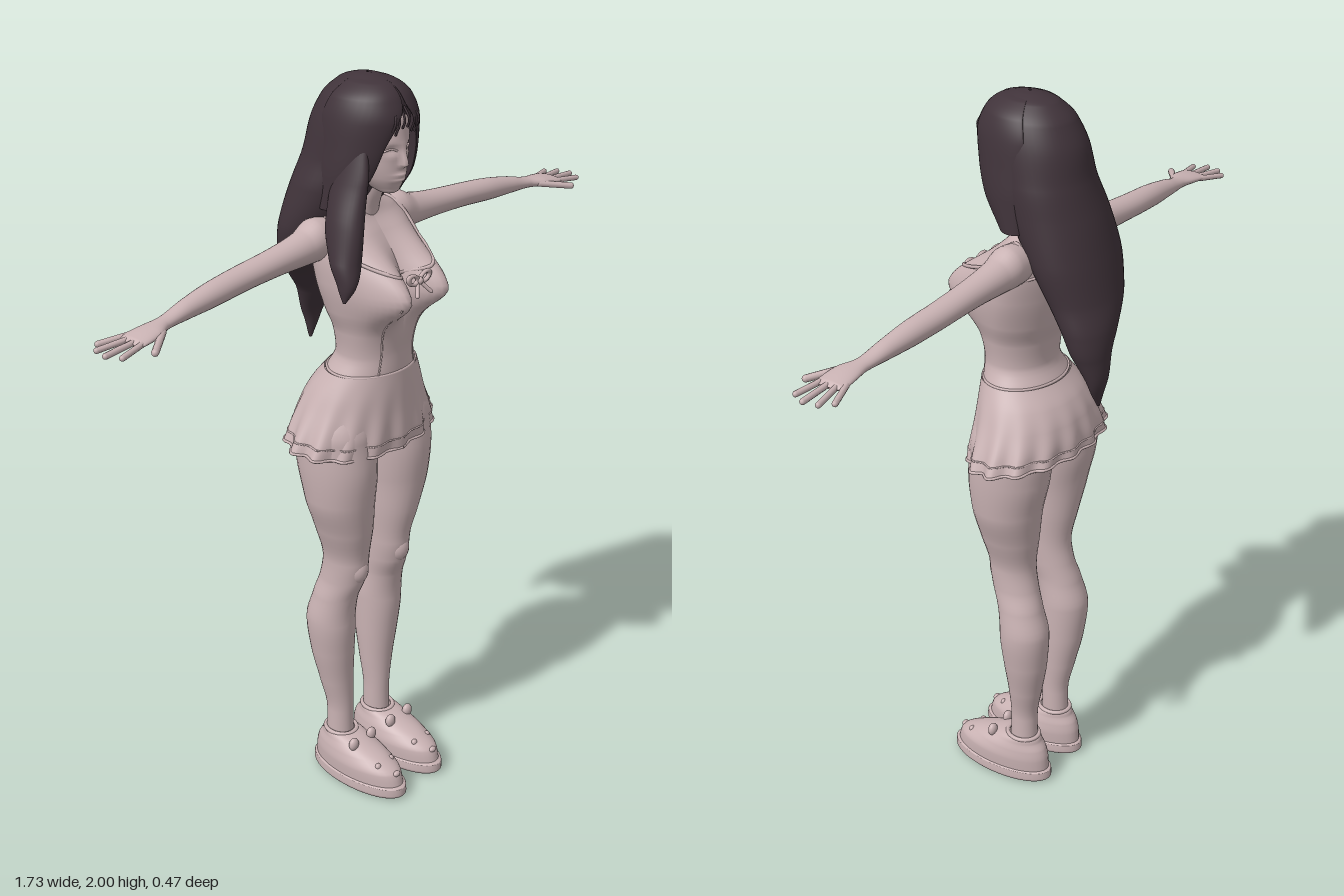
import * as THREE from 'three';
import { ParametricGeometry } from 'three/addons/geometries/ParametricGeometry.js';

const { sin, cos, PI, exp, abs, max, min } = Math;
const V = (x, y, z) => new THREE.Vector3(x, y, z);

// Monotone cubic interpolation of table rows, keyed by their first column.
function at(rows, k) {
  let i = 0;
  while (i < rows.length - 2 && k > rows[i + 1][0]) i++;
  const slope = (j, c) => (rows[j + 1][c] - rows[j][c]) / (rows[j + 1][0] - rows[j][0]);
  const tangent = (j, c) => {
    if (j === 0) return slope(0, c);
    if (j === rows.length - 1) return slope(j - 1, c);
    const a = slope(j - 1, c), b = slope(j, c);
    return a * b > 0 ? 2 * a * b / (a + b) : 0;
  };
  const h = rows[i + 1][0] - rows[i][0];
  const t = min(1, max(0, (k - rows[i][0]) / h)), s = 1 - t;
  return rows[i].slice(1).map((p, n) => {
    const c = n + 1;
    return p * (1 + 2 * t) * s * s + tangent(i, c) * h * t * s * s
      + rows[i + 1][c] * t * t * (3 - 2 * t) - tangent(i + 1, c) * h * t * t * s;
  });
}

// Surface through the rows; place(angle, key, values) gives a point.
function loft(rows, place, around = 32, steps = 5) {
  const n = rows.length - 1;
  return new ParametricGeometry((u, v, out) => {
    const i = min(n - 1, Math.floor(v * n)), f = v * n - i;
    const k = rows[i][0] + (rows[i + 1][0] - rows[i][0]) * f;
    out.copy(place(u * 2 * PI, k, at(rows, k)));
  }, around, n * steps);
}

const ring = (a, y, [cx, cz, rx, rz]) => V(cx + rx * sin(a), y, cz + rz * cos(a));
const along = (a, x, [cy, cz, ry, rz]) => V(x, cy - ry * sin(a), cz + rz * cos(a));
const tube = (points, r, n = 40) => new THREE.TubeGeometry(new THREE.CatmullRomCurve3(points), n, r, 6);
const ball = (p, sx, sy, sz) => new THREE.SphereGeometry(1, 20, 14).scale(sx, sy, sz).translate(p.x, p.y, p.z);

function capsule(p, q, r) {
  const d = q.clone().sub(p);
  const g = new THREE.CapsuleGeometry(r, d.length(), 5, 10);
  g.applyQuaternion(new THREE.Quaternion().setFromUnitVectors(V(0, 1, 0), d.normalize()));
  const m = p.clone().add(q).multiplyScalar(0.5);
  return g.translate(m.x, m.y, m.z);
}

function mirrored(geometry) {
  const g = geometry.clone().scale(-1, 1, 1), ix = g.index;
  for (let i = 0; i < ix.count; i += 3) {
    const b = ix.getX(i + 1);
    ix.setX(i + 1, ix.getX(i + 2));
    ix.setX(i + 2, b);
  }
  return g;
}

// Torso: half width, front and back depth by height, with the bust swelling forward.
const torsoRows = [
  [1.16, 0.165, 0.135, -0.1], [1.24, 0.133, 0.143, -0.06], [1.3, 0.108, 0.145, -0.035],
  [1.36, 0.115, 0.15, -0.042], [1.42, 0.135, 0.145, -0.06], [1.5, 0.153, 0.125, -0.075],
  [1.56, 0.158, 0.105, -0.08], [1.61, 0.152, 0.075, -0.08], [1.645, 0.125, 0.05, -0.07],
  [1.67, 0.075, 0.04, -0.055], [1.69, 0.03, 0.03, -0.03]];
function torsoPoint(a, y, [rx, zf, zb] = at(torsoRows, y)) {
  const x = rx * sin(a), c = cos(a);
  const dy = (y - 1.48) / (y > 1.48 ? 0.095 : 0.07), dx = (abs(x) - 0.075) / 0.058;
  const w = THREE.MathUtils.smoothstep(c, 0, 0.6);
  return V(x, y, (zf + zb) / 2 + (zf - zb) / 2 * c + 0.115 * w * exp(-dx * dx - dy * dy));
}

// Flared skirt whose folds deepen toward the hem.
const skirtRows = [
  [1.05, 0.236, 0.148, -0.135], [1.09, 0.218, 0.153, -0.134], [1.15, 0.188, 0.151, -0.122],
  [1.2, 0.163, 0.15, -0.1], [1.25, 0.134, 0.148, -0.062]];
function skirtPoint(a, y, [rx, zf, zb] = at(skirtRows, y)) {
  const k = (1.25 - y) / 0.2, w = 1 + 0.045 * k * k * cos(15 * a + 0.8 * sin(2 * a));
  return V(rx * w * sin(a), y - 0.016 * k * k * cos(a), (zf + zb) / 2 + (zf - zb) / 2 * cos(a) * w);
}

// Head with nose, lips, brow and eye sockets pressed into the face.
const headRows = [
  [1.712, 0, 0.095, 0.004, 0.005], [1.716, 0, 0.095, 0.018, 0.022], [1.73, 0, 0.084, 0.034, 0.045],
  [1.76, 0, 0.07, 0.055, 0.07], [1.8, 0, 0.055, 0.069, 0.088], [1.85, 0, 0.045, 0.074, 0.103],
  [1.9, 0, 0.04, 0.069, 0.103], [1.94, 0, 0.035, 0.05, 0.08], [1.955, 0, 0.03, 0.01, 0.01]];
const bump = (d, s) => exp(-(d / s) * (d / s));
function headPoint(a, y, r) {
  const p = ring(a, y, r);
  if (cos(a) > 0) {
    p.z += 0.02 * bump(p.x, 0.01) * bump(y - 1.795, y > 1.795 ? 0.028 : 0.009);
    p.z += 0.007 * bump(p.x, 0.02) * (bump(y - 1.766, 0.006) + bump(y - 1.753, 0.006));
    p.z -= 0.009 * bump(abs(p.x) - 0.032, 0.016) * bump(y - 1.832, 0.012);
  }
  return p;
}

const armRows = [
  [0.08, 1.6, -0.01, 0.045, 0.045], [0.15, 1.605, -0.01, 0.054, 0.05], [0.2, 1.595, -0.008, 0.043, 0.044],
  [0.3, 1.587, -0.006, 0.034, 0.038], [0.4, 1.58, -0.005, 0.031, 0.036], [0.5, 1.572, 0, 0.03, 0.033],
  [0.6, 1.562, 0.006, 0.023, 0.026], [0.67, 1.553, 0.012, 0.015, 0.022], [0.72, 1.549, 0.02, 0.014, 0.036],
  [0.77, 1.543, 0.02, 0.01, 0.04], [0.785, 1.541, 0.02, 0.002, 0.025]];

const legRows = [
  [0.08, 0.077, 0, 0.036, 0.04], [0.2, 0.076, 0, 0.035, 0.038], [0.3, 0.082, -0.008, 0.046, 0.048],
  [0.4, 0.09, -0.014, 0.058, 0.062], [0.5, 0.095, -0.015, 0.064, 0.07], [0.58, 0.092, 0, 0.057, 0.065],
  [0.64, 0.085, 0.02, 0.054, 0.067], [0.7, 0.083, 0.03, 0.055, 0.067], [0.8, 0.093, 0.032, 0.072, 0.083],
  [0.9, 0.106, 0.03, 0.09, 0.098], [1, 0.107, 0.022, 0.098, 0.113], [1.08, 0.105, 0.015, 0.1, 0.115],
  [1.18, 0.08, 0.02, 0.08, 0.09]];

const soleRows = [
  [0, 0.077, 0.075, 0.004, 0.01], [0.002, 0.077, 0.075, 0.062, 0.15], [0.015, 0.077, 0.075, 0.07, 0.162],
  [0.034, 0.077, 0.075, 0.069, 0.161], [0.04, 0.077, 0.075, 0.06, 0.15]];
const upperRows = [
  [0.03, 0.077, 0.075, 0.064, 0.153], [0.07, 0.077, 0.07, 0.066, 0.146], [0.1, 0.077, 0.05, 0.06, 0.118],
  [0.12, 0.077, 0.03, 0.052, 0.085], [0.138, 0.077, 0.008, 0.043, 0.052], [0.14, 0.077, 0.005, 0.034, 0.038]];

// Long back hair tapering to a tip, front locks and one lock over the shoulder.
const backHairRows = [
  [1.235, 0.035, -0.203, 0.004, 0.004], [1.3, 0.047, -0.207, 0.03, 0.02], [1.38, 0.045, -0.187, 0.06, 0.045],
  [1.44, 0.028, -0.17, 0.088, 0.06], [1.52, -0.005, -0.132, 0.125, 0.082], [1.62, -0.012, -0.092, 0.145, 0.1],
  [1.72, -0.008, -0.05, 0.138, 0.115], [1.8, 0, -0.022, 0.125, 0.118], [1.88, 0, 0.005, 0.114, 0.128],
  [1.94, 0, 0.022, 0.096, 0.115], [1.98, 0, 0.03, 0.06, 0.08], [1.996, 0, 0.03, 0.025, 0.035], [2, 0, 0.03, 0.003, 0.004]];
const frontHairRows = [
  [1.68, 0.132, 0.085, 0, 1.05], [1.76, 0.131, 0.125, 0.015, 0.68], [1.84, 0.123, 0.141, 0.02, 0.52],
  [1.9, 0.115, 0.146, 0.02, 0.26], [1.95, 0.098, 0.122, 0.025, 0.04], [1.984, 0.058, 0.08, 0.03, 0.02],
  [2, 0.006, 0.008, 0.03, 0.02]];
function frontHairPoint(a, y, [rx, rz, cz, open]) {
  const mid = (open + 1.9) / 2, q = mid - (1.9 - open) / 2 * cos(a), s = 0.95 + 0.06 * sin(a);
  return V(rx * s * sin(q), y, cz + rz * s * cos(q));
}
const sideLockRows = [
  [1.485, -0.19, 0.125, 0.003, 0.004], [1.52, -0.177, 0.122, 0.02, 0.024], [1.58, -0.158, 0.1, 0.037, 0.042],
  [1.66, -0.138, 0.08, 0.036, 0.055], [1.76, -0.108, 0.07, 0.026, 0.055], [1.84, -0.09, 0.07, 0.015, 0.04]];

export function createModel() {
  const model = new THREE.Group();
  const skin = new THREE.MeshStandardMaterial({ color: 0xc9b2b3, side: THREE.DoubleSide });
  skin.name = 'pale rose';
  const hair = new THREE.MeshStandardMaterial({ color: 0x40333a, side: THREE.DoubleSide });
  hair.name = 'dark plum';

  const add = (name, geometry, material = skin) => {
    const mesh = new THREE.Mesh(geometry, material);
    mesh.name = name;
    model.add(mesh);
  };
  const pair = (name, geometry, material) => {
    add(name + 'Left', geometry, material);
    add(name + 'Right', mirrored(geometry), material);
  };

  // Head and neck
  add('head', loft(headRows, headPoint, 64, 8));
  add('neck', loft([[1.6, 0, -0.005, 0.06, 0.05], [1.66, 0, 0.01, 0.045, 0.045],
    [1.72, 0, 0.03, 0.039, 0.043], [1.78, 0, 0.035, 0.042, 0.045]], ring));
  pair('eyelid', tube([V(0.016, 1.829, 0.141), V(0.03, 1.835, 0.135), V(0.046, 1.83, 0.122)], 0.0025, 12));
  pair('ear', ball(V(0.073, 1.815, 0.035), 0.008, 0.025, 0.014));

  // Bodice with seams, neckline, straps and bow
  add('bodice', loft(torsoRows, torsoPoint, 80, 5));
  const onTorso = list => list.map(([a, y]) => torsoPoint(a, y));
  const neck = onTorso([[-0.98, 1.575], [-0.7, 1.55], [-0.4, 1.53], [0, 1.515], [0.4, 1.53], [0.7, 1.55], [0.98, 1.575]]);
  add('neckline', tube(neck, 0.005));
  add('backNeckline', tube(onTorso([[1.9, 1.56], [2.4, 1.57], [PI, 1.565], [3.88, 1.57], [4.38, 1.56]]), 0.004));
  pair('strap', tube(onTorso([[0.98, 1.57], [1.05, 1.61], [1.2, 1.64], [1.57, 1.652], [1.95, 1.635], [2.2, 1.57]]), 0.007));
  pair('bodiceSeam', tube(onTorso([[0.62, 1.46], [0.6, 1.38], [0.58, 1.3], [0.55, 1.24]]), 0.0025));
  const loop = (point, y, r) => tube(Array.from({ length: 61 }, (_, i) => point(i / 60 * 2 * PI, y)), r, 180);
  add('waistSeam', loop(torsoPoint, 1.25, 0.004));
  pair('bowLoop', new THREE.TorusGeometry(0.014, 0.006, 8, 16).scale(1.3, 0.8, 1).rotateZ(0.35).translate(0.022, 1.515, 0.2));
  pair('bowTail', capsule(V(0.005, 1.505, 0.2), V(0.026, 1.478, 0.218), 0.005));
  add('bowKnot', ball(V(0, 1.51, 0.203), 0.009, 0.01, 0.009));

  // Skirt and hips
  add('skirt', loft(skirtRows, skirtPoint, 150, 6));
  add('skirtHem', loop(skirtPoint, 1.052, 0.004));
  add('hemStitch', loop(skirtPoint, 1.078, 0.0025));
  add('hips', ball(V(0, 1.12, 0.015), 0.15, 0.1, 0.105));

  // Arms and hands
  pair('arm', loft(armRows, along, 28));
  [[0.825, -0.038, -0.012], [0.85, -0.012, 0.006], [0.858, 0.026, 0.026], [0.84, 0.062, 0.046]].forEach(([x, z, z0], i) =>
    pair('finger' + (i + 1), capsule(V(0.755, 1.544, z0), V(x, 1.536, z), 0.0075)));
  pair('thumb', capsule(V(0.7, 1.548, 0.04), V(0.772, 1.536, 0.093), 0.009));

  // Legs and animal slippers
  pair('leg', loft(legRows, ring));
  pair('kneecap', ball(V(0.083, 0.675, 0.068), 0.032, 0.042, 0.033));
  pair('slipperSole', loft(soleRows, ring, 40));
  pair('slipperUpper', loft(upperRows, ring, 40));
  for (const [side, s] of [['Outer', 1], ['Inner', -1]]) {
    pair('slipperEar' + side, ball(V(0.077 + s * 0.036, 0.13, 0.085), 0.016, 0.019, 0.012));
    pair('slipperEye' + side, ball(V(0.077 + s * 0.027, 0.09, 0.167), 0.009, 0.009, 0.008));
  }
  pair('slipperNose', ball(V(0.077, 0.073, 0.212), 0.012, 0.008, 0.008));
  pair('slipperCuff', new THREE.TorusGeometry(0.04, 0.006, 8, 28).scale(1, 1.15, 1).rotateX(PI / 2).translate(0.077, 0.137, 0.004));

  // Hair
  add('backHair', loft(backHairRows, ring, 48), hair);
  pair('frontHair', loft(frontHairRows, frontHairPoint, 40, 6), hair);
  add('shoulderLock', loft(sideLockRows, ring), hair);
  [[0.008, 1.885], [0.026, 1.87], [0.042, 1.865]].forEach(([x, y], i) =>
    pair('fringe' + (i + 1), tube([V(x * 0.7, 1.935, 0.14), V(x, 1.905, 0.156), V(x * 1.1, y, 0.152 - x * 0.3)], 0.003, 10), hair));
  return model;
}
